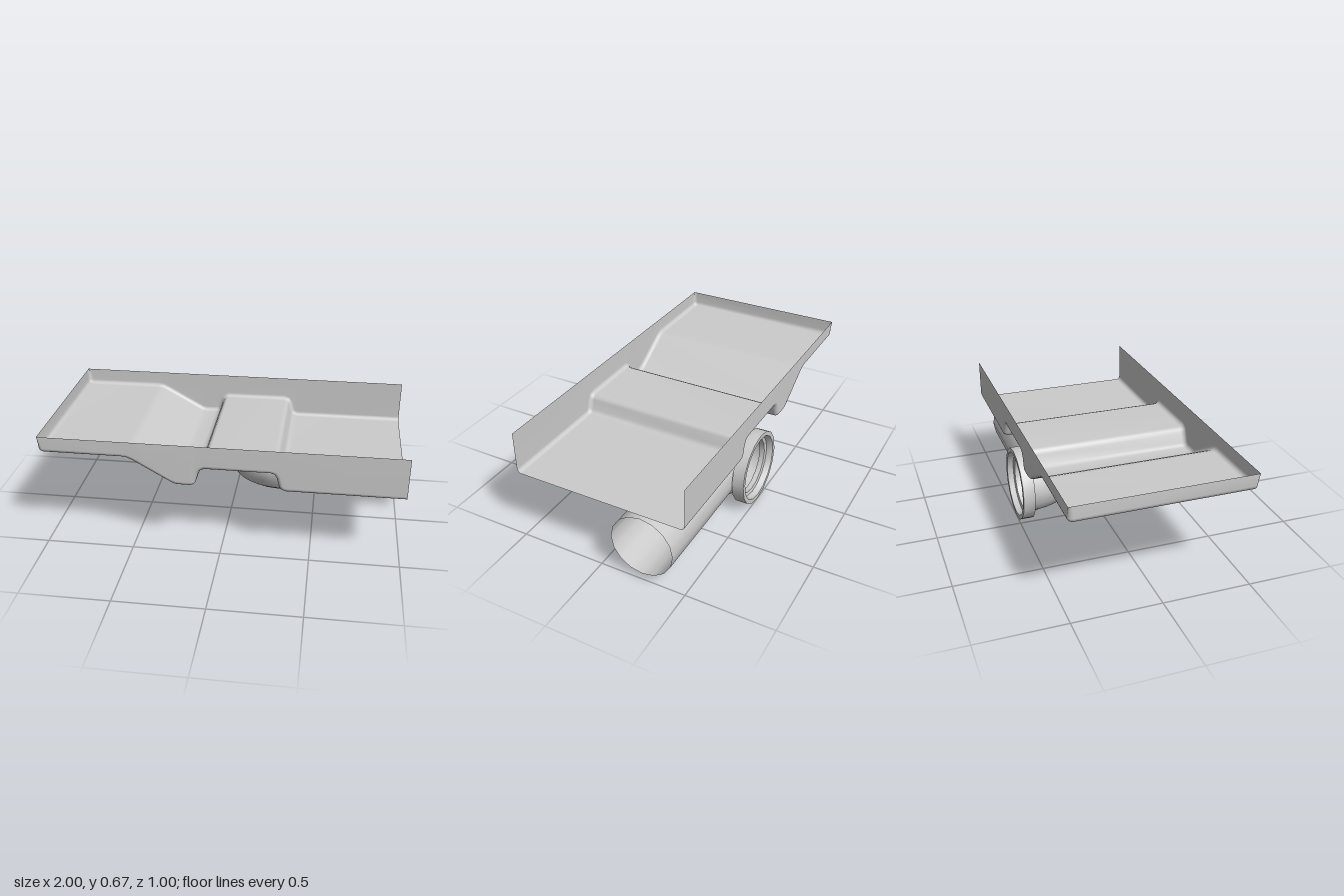
import * as THREE from 'three';
import { toCreasedNormals } from 'three/addons/utils/BufferGeometryUtils.js';

const grey = new THREE.MeshStandardMaterial({ color: 0xcccccc, side: THREE.DoubleSide });

function part(name, geometry, x = 0, y = 0, z = 0) {
  const mesh = new THREE.Mesh(geometry, grey);
  mesh.name = name;
  mesh.position.set(x, y, z);
  return mesh;
}

// Thin open-ended tray: a stepped floor profile swept across z, with rounded edges into the walls
function trayGeometry() {
  const rim = 0.67, half = 0.5, fillet = 0.025, steps = 4;
  const profile = [
    [-1, rim], [-1, 0.602], [-0.993, 0.583], [-0.973, 0.575],
    [-0.54, 0.575], [-0.51, 0.571], [-0.48, 0.558],
    [-0.28, 0.443], [-0.255, 0.43], [-0.23, 0.425], [-0.165, 0.425], [-0.145, 0.431], [-0.133, 0.445],
    [-0.117, 0.5], [-0.105, 0.52], [-0.085, 0.53],
    [0.275, 0.53], [0.295, 0.523], [0.306, 0.505],
    [0.32, 0.455], [0.333, 0.434], [0.36, 0.425], [1, 0.425],
  ].map(p => new THREE.Vector2(...p));

  const positions = [], index = [];
  profile.forEach((p, i) => {
    const a = profile[Math.max(i - 1, 0)], b = profile[Math.min(i + 1, profile.length - 1)];
    const t = b.clone().sub(a).normalize();
    // The rim corner stays sharp; elsewhere the edge rises along the floor normal
    const r = i === 0 ? 0 : fillet;
    const side = [];
    for (let s = 0; s <= steps; s++) {
      const ang = s / steps * Math.PI / 2, up = r * (1 - Math.cos(ang));
      side.push([p.x - t.y * up, Math.min(p.y + t.x * up, rim), half - fillet + fillet * Math.sin(ang)]);
    }
    side.push([side[steps][0], rim, half]);
    const row = [...side.map(([x, y, z]) => [x, y, -z]).reverse(), ...side];
    row.forEach(v => positions.push(...v));
    if (i === 0) return;
    const n = row.length;
    for (let j = 0; j < n - 1; j++) {
      const c = (i - 1) * n + j, d = c + n;
      index.push(c, c + 1, d, c + 1, d + 1, d);
    }
  });
  const g = new THREE.BufferGeometry();
  g.setAttribute('position', new THREE.Float32BufferAttribute(positions, 3));
  g.setIndex(index);
  g.computeVertexNormals();
  return g;
}

export function createModel() {
  const model = new THREE.Group();
  model.name = 'trayWithDrain';
  model.add(part('tray', trayGeometry()));

  // Drain pipe: straight run, quarter bend and socket collar
  const drain = new THREE.Group();
  drain.name = 'drain';
  const R = 0.18, sides = 16, y = 0.22, x = 0.1, zBack = -0.43;
  const run = new THREE.CylinderGeometry(R, R, 1 - x - R, sides, 1, true).rotateZ(Math.PI / 2);
  drain.add(part('drainPipe', run, (1 + x + R) / 2, y, zBack + R));

  const bend = new THREE.TorusGeometry(R, R, sides, 10, Math.PI / 2)
    .rotateZ(Math.PI / 2).rotateX(Math.PI / 2);
  drain.add(part('drainElbow', bend, x + R, y, zBack));

  const collarProfile = [
    [0.178, 0], [0.219, 0], [0.219, 0.07], [0.193, 0.07], [0.183, 0.035], [0.163, 0.03], [0.163, 0],
  ].map(p => new THREE.Vector2(...p));
  const collar = toCreasedNormals(new THREE.LatheGeometry(collarProfile, sides), 0.5).rotateX(-Math.PI / 2);
  drain.add(part('drainCollar', collar, x, y, zBack));

  model.add(drain);
  return model;
}
